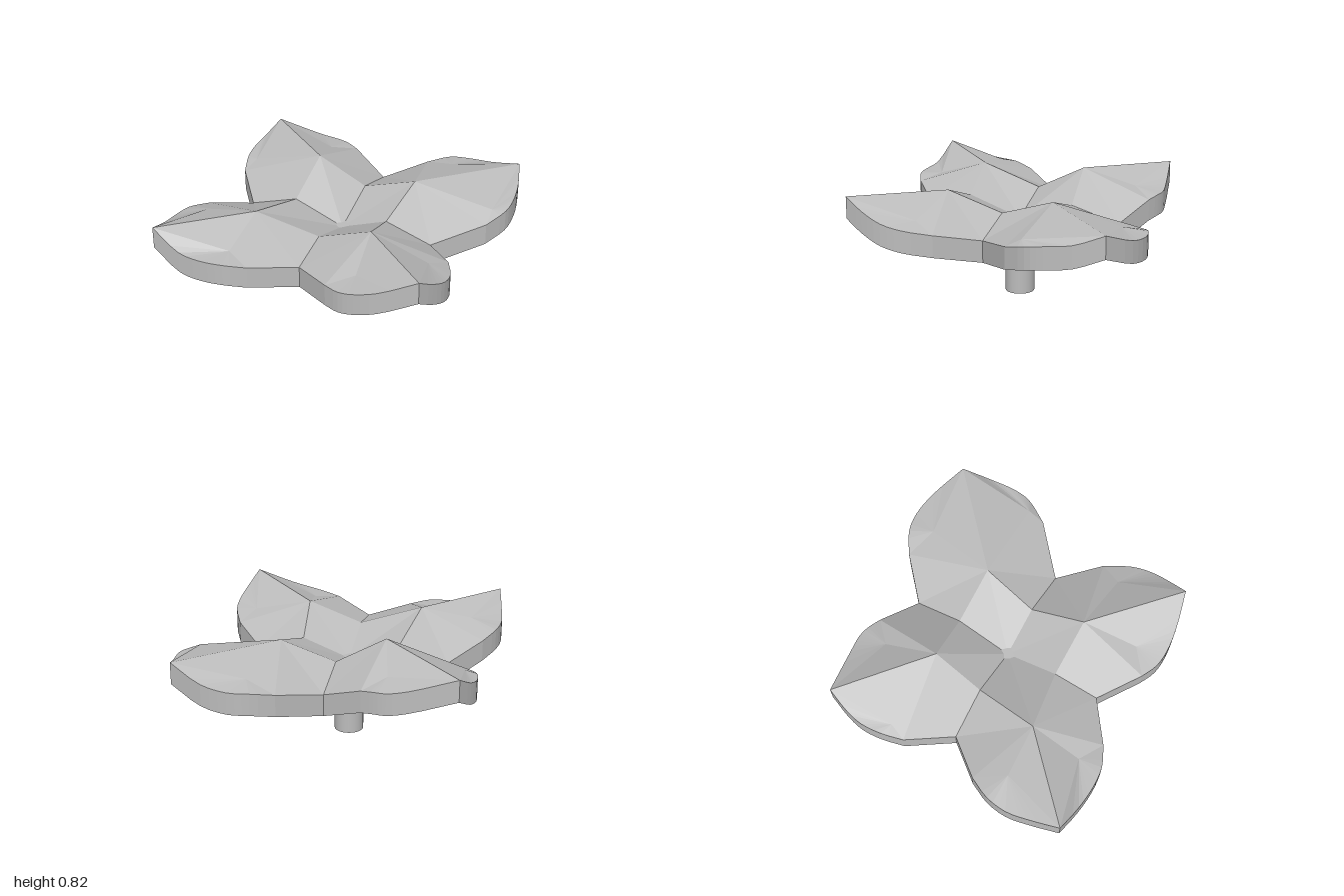
import * as THREE from 'three';

const THICKNESS = 0.148;
const CENTRE = [-0.03, 0.52, 0.045];

// Axis folds between petals: inner ridge point and outer notch point
const FOLDS = {
  back: { ridge: [-0.03, 0.645, -0.33], notch: [-0.03, 0.55, -0.66] },
  left: { ridge: [0.29, 0.64, 0.045], notch: [0.61, 0.54, 0.05] },
  front: { ridge: [-0.03, 0.645, 0.41], notch: [-0.02, 0.59, 0.72] },
  right: { ridge: [-0.38, 0.65, 0.04], notch: [-0.71, 0.545, 0.05] },
};

// Each petal: raised knuckle, pointed tip, and two lobed sides (lobe centre + rim points)
const PETALS = [
  {
    name: 'frontLeftPetal', knuckle: [0.34, 0.775, 0.41], tip: [0.86, 0.815, 0.89],
    sides: [
      { fold: 'front', lobe: [0.4, 0.68, 0.78], rim: [[0.25, 0.645, 0.91], [0.36, 0.655, 0.96], [0.47, 0.675, 0.972], [0.62, 0.715, 0.955]] },
      { fold: 'left', lobe: [0.75, 0.67, 0.45], rim: [[0.83, 0.61, 0.3], [0.91, 0.645, 0.48], [0.925, 0.68, 0.62], [0.9, 0.74, 0.76]] },
    ],
  },
  {
    name: 'frontRightPetal', knuckle: [-0.45, 0.77, 0.48], tip: [-0.94, 0.785, 0.96],
    sides: [
      { fold: 'front', lobe: [-0.46, 0.66, 0.83], rim: [[-0.29, 0.63, 0.92], [-0.43, 0.65, 0.985], [-0.58, 0.65, 1], [-0.74, 0.665, 0.988]] },
      { fold: 'right', lobe: [-0.8, 0.715, 0.5], rim: [[-0.91, 0.63, 0.3], [-0.98, 0.66, 0.45], [-1, 0.67, 0.6], [-0.98, 0.705, 0.75]] },
    ],
  },
  {
    name: 'backLeftPetal', knuckle: [0.34, 0.765, -0.33], tip: [0.91, 0.765, -0.87],
    sides: [
      { fold: 'back', lobe: [0.43, 0.68, -0.82], rim: [[0.22, 0.62, -0.89], [0.36, 0.65, -0.975], [0.5, 0.655, -1], [0.68, 0.68, -0.97]] },
      { fold: 'left', lobe: [0.9, 0.68, -0.33], rim: [[0.9, 0.62, -0.22], [0.98, 0.66, -0.38], [0.99, 0.68, -0.5], [0.965, 0.7, -0.68]] },
    ],
  },
  {
    name: 'backRightPetal', knuckle: [-0.36, 0.825, -0.3], tip: [-0.91, 0.785, -0.77],
    sides: [
      { fold: 'back', lobe: [-0.44, 0.71, -0.65], rim: [[-0.3, 0.66, -0.79], [-0.39, 0.675, -0.825], [-0.47, 0.68, -0.84], [-0.6, 0.7, -0.825]] },
      { fold: 'right', lobe: [-0.88, 0.67, -0.33], rim: [[-0.92, 0.62, -0.22], [-0.965, 0.66, -0.36], [-0.98, 0.68, -0.5], [-0.96, 0.71, -0.62]] },
    ],
  },
];

const vec = (p) => new THREE.Vector3(...p);
const lowered = (p) => new THREE.Vector3(p.x, p.y - THICKNESS, p.z);

// Add a triangle whose normal agrees with the given direction
function addTriangle(out, a, b, c, direction) {
  const normal = b.clone().sub(a).cross(c.clone().sub(a));
  const corners = normal.dot(direction) >= 0 ? [a, b, c] : [a, c, b];
  for (const p of corners) out.push(p.x, p.y, p.z);
}

function petalGeometry({ knuckle, tip, sides }) {
  const out = [];
  const up = new THREE.Vector3(0, 1, 0);
  const down = new THREE.Vector3(0, -1, 0);
  const C = vec(CENTRE), K = vec(knuckle), T = vec(tip);

  for (const { fold, lobe, rim } of sides) {
    const M = vec(FOLDS[fold].ridge), N = vec(FOLDS[fold].notch), L = vec(lobe);
    const edge = new THREE.CatmullRomCurve3([...rim.map(vec), T], false, 'centripetal').getPoints(12);

    // Folded facets, then a fan that rounds the lobe
    const faces = [[C, M, K], [M, N, K], [N, edge[0], K], [K, edge[0], L], [K, L, T]];
    for (let i = 0; i < edge.length - 1; i++) faces.push([L, edge[i], edge[i + 1]]);
    for (const [a, b, c] of faces) {
      addTriangle(out, a, b, c, up);
      addTriangle(out, lowered(a), lowered(b), lowered(c), down);
    }

    // Upright rim wall
    const outline = [N, ...edge];
    for (let i = 0; i < outline.length - 1; i++) {
      const a = outline[i], b = outline[i + 1];
      const outward = a.clone().add(b).multiplyScalar(0.5).sub(K).setY(0);
      addTriangle(out, a, b, lowered(a), outward);
      addTriangle(out, b, lowered(b), lowered(a), outward);
    }
  }

  const geometry = new THREE.BufferGeometry();
  geometry.setAttribute('position', new THREE.Float32BufferAttribute(out, 3));
  geometry.computeVertexNormals();
  return geometry;
}

export function createModel() {
  const model = new THREE.Group();
  model.name = 'foldedFlower';

  const grey = new THREE.MeshStandardMaterial({ color: 0xbcbcbc });
  grey.name = 'plain grey';

  // Four folded petals
  for (const petal of PETALS) {
    const mesh = new THREE.Mesh(petalGeometry(petal), grey);
    mesh.name = petal.name;
    model.add(mesh);
  }

  // Stem, its top just showing in the centre
  const height = 0.537;
  const stem = new THREE.Mesh(new THREE.CylinderGeometry(0.1, 0.1, height, 32), grey);
  stem.name = 'stem';
  stem.position.set(CENTRE[0], height / 2, CENTRE[2]);
  model.add(stem);

  return model;
}
